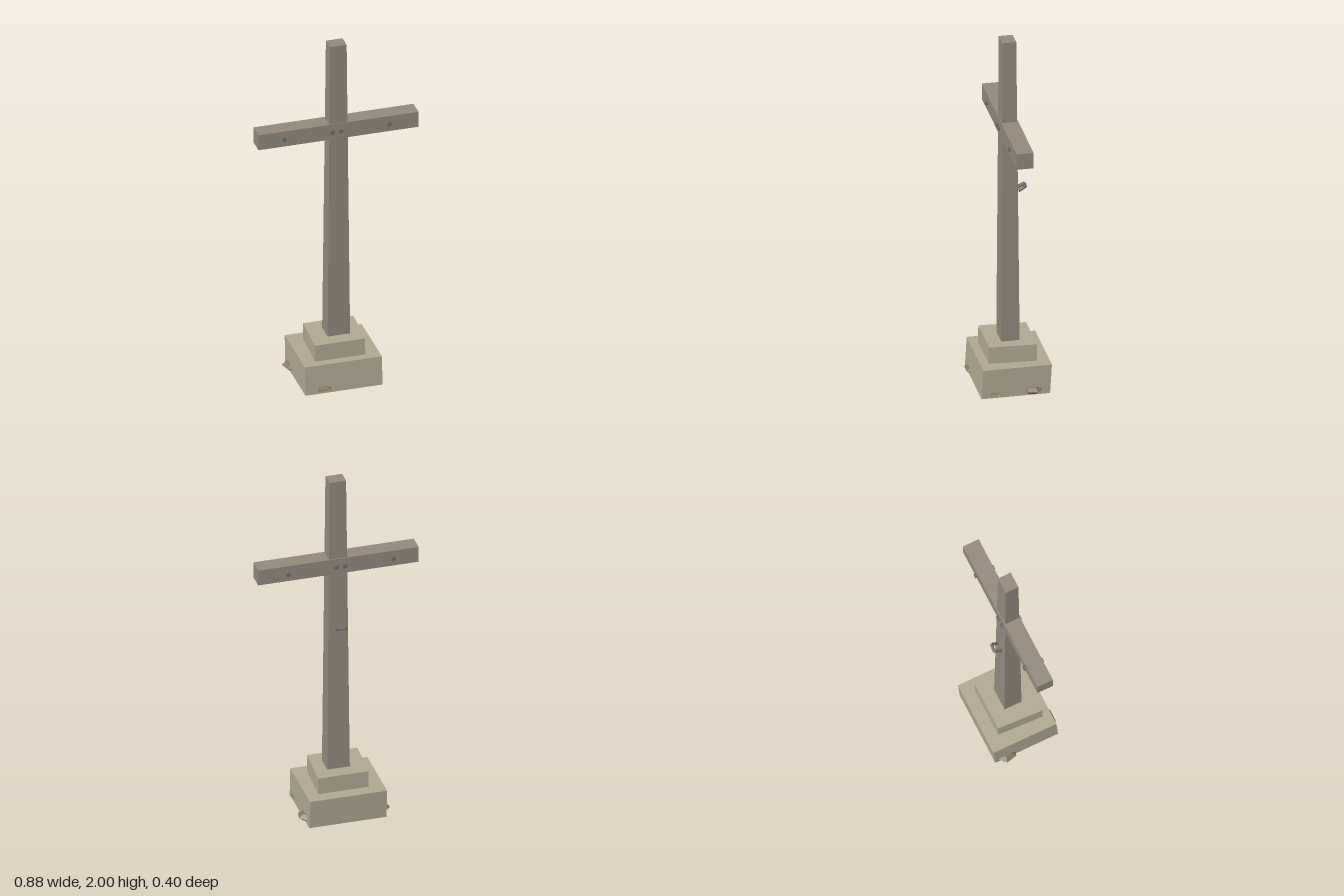
import * as THREE from 'three';

const mat = (color) => new THREE.MeshStandardMaterial({ color, flatShading: true });

export function createModel() {
  const group = new THREE.Group();
  const stone = mat(0xb0a791);
  const wood = mat(0x92887a);
  const rock = mat(0x87745c);
  const iron = mat(0x6b6b6b);

  const add = (name, geometry, material) => {
    const mesh = new THREE.Mesh(geometry, material);
    mesh.name = name;
    group.add(mesh);
    return mesh;
  };

  // Block between two levels; each rectangle is [x0, x1, z0, z1], skew slides x along z
  const block = (name, material, y0, y1, low, high, skew = 0) => {
    const g = new THREE.BoxGeometry(1, 1, 1);
    const p = g.attributes.position;
    for (let i = 0; i < p.count; i++) {
      const top = p.getY(i) > 0;
      const r = top ? high : low;
      const z = p.getZ(i) > 0 ? r[3] : r[2];
      const x = p.getX(i) > 0 ? r[1] : r[0];
      p.setXYZ(i, x - skew * z, top ? y1 : y0, z);
    }
    g.computeVertexNormals();
    return add(name, g, material);
  };

  // Two-step plinth
  block('lowerPlinth', stone, 0, 0.165, [-0.225, 0.2, -0.19, 0.18], [-0.225, 0.2, -0.2, 0.17]);
  block('upperPlinth', stone, 0.165, 0.26, [-0.15, 0.128, -0.133, 0.124], [-0.15, 0.128, -0.133, 0.122], 0.05);

  // Tapered post and crossbeam
  block('post', wood, 0.26, 2, [-0.062, 0.062, -0.055, 0.045], [-0.046, 0.046, -0.04, 0.035]);
  block('crossbeam', wood, 1.445, 1.535, [-0.443, 0.441, -0.05, 0.042], [-0.443, 0.441, -0.05, 0.042]);

  // Bolts running through the crossbeam
  for (const x of [-0.302, -0.035, 0.012, 0.278]) {
    const bolt = add('bolt', new THREE.CylinderGeometry(0.013, 0.013, 0.115, 8), iron);
    bolt.rotation.x = Math.PI / 2;
    bolt.position.set(x, 1.49, -0.0055);
  }

  // Bent iron staple behind the post
  const corners = [[-0.036, 1.11, -0.06], [-0.03, 1.133, -0.1], [0.013, 1.133, -0.096], [0.009, 1.11, -0.06]]
    .map((c) => new THREE.Vector3(...c));
  const path = new THREE.CurvePath();
  for (let i = 0; i < 3; i++) path.add(new THREE.LineCurve3(corners[i], corners[i + 1]));
  add('staple', new THREE.TubeGeometry(path, 12, 0.009, 6), iron);

  // Flat faceted rocks set around the foot: x, z, radius, half height, turn
  const profile = [[0, -1], [0.6, -1], [1, 0], [0.6, 1], [0, 1]].map(([x, y]) => new THREE.Vector2(x, y));
  const rocks = [
    [-0.2, -0.12, 0.063, 0.018, 0.25],
    [0.18, -0.1, 0.06, 0.018, 0.85],
    [-0.128, 0.134, 0.073, 0.018, Math.PI / 6],
    [0.168, 0.115, 0.05, 0.01, 0.2],
  ];
  for (const [x, z, r, h, turn] of rocks) {
    const mesh = add('rock', new THREE.LatheGeometry(profile, 6), rock);
    mesh.scale.set(r, h, r);
    mesh.rotation.y = turn;
    mesh.position.set(x, 0.026, z);
  }

  return group;
}
